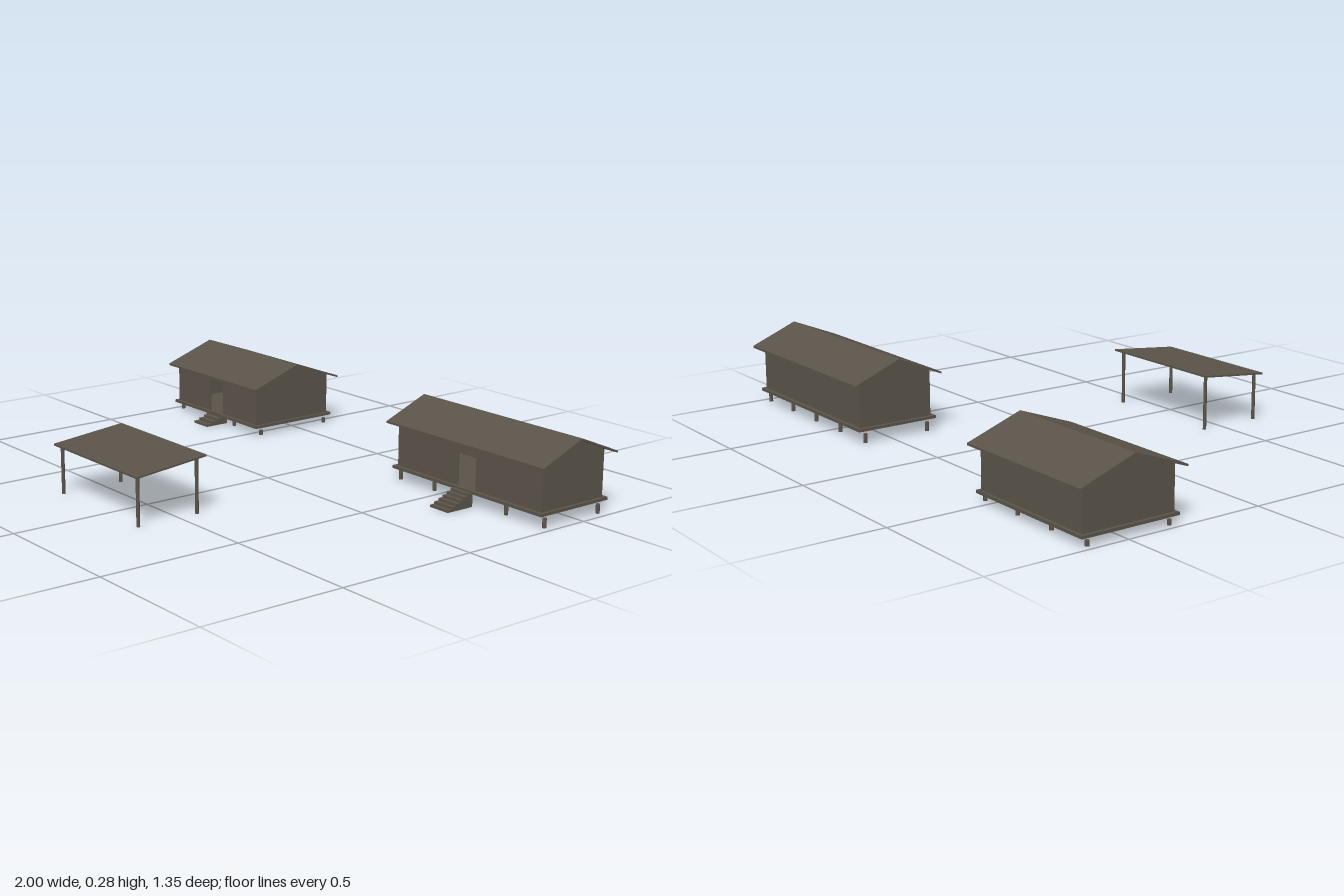
import * as THREE from 'three';

const wood = new THREE.MeshStandardMaterial({ color: 0x5a5349 });
wood.name = 'weathered wood';

function add(parent, name, geometry, x = 0, y = 0, z = 0) {
  const mesh = new THREE.Mesh(geometry, wood);
  mesh.name = name;
  mesh.position.set(x, y, z);
  parent.add(mesh);
  return mesh;
}

// Box given by its lower and upper limits on each axis
function block(parent, name, x0, x1, y0, y1, z0, z1) {
  return add(parent, name, new THREE.BoxGeometry(x1 - x0, y1 - y0, z1 - z0),
    (x0 + x1) / 2, (y0 + y1) / 2, (z0 + z1) / 2);
}

function post(parent, name, x, z, height, radius) {
  add(parent, name, new THREE.CylinderGeometry(radius, radius, height, 10), x, height / 2, z);
}

// Extrudes a (z, y) outline along x from x0 to x1
function profile(parent, name, points, x0, x1) {
  const shape = new THREE.Shape(points.map(([z, y]) => new THREE.Vector2(-z, y)));
  const geometry = new THREE.ExtrudeGeometry(shape, { depth: x1 - x0, bevelEnabled: false });
  geometry.rotateY(Math.PI / 2);
  return add(parent, name, geometry, x0, 0, 0);
}

function createHut(o) {
  const hut = new THREE.Group();
  hut.name = o.name;
  const [x0, x1] = o.wallX, t = 0.005;
  const zc = o.ridgeZ, front = zc + o.wallHalf, back = zc - o.wallHalf;
  const slope = (o.ridgeY - o.eaveY) / o.roofHalf, thick = 0.007;
  const base = o.floorY + 0.01;
  const under = (z) => o.ridgeY - thick - Math.abs(z - zc) * slope;
  const wallTop = under(front);

  // Floor platform
  block(hut, 'floor', o.floorX[0], o.floorX[1], o.floorY, base, zc - o.floorHalf, zc + o.floorHalf);

  // Gable end walls
  const gable = [[front, base], [front, wallTop], [zc, under(zc)], [back, wallTop], [back, base]];
  profile(hut, 'rightGableWall', gable, x0, x0 + t);
  profile(hut, 'leftGableWall', gable, x1 - t, x1);

  // Back wall, and front wall around the open doorway
  block(hut, 'backWall', x0 + t, x1 - t, base, wallTop, back, back + t);
  const [d0, d1] = o.doorX;
  block(hut, 'frontWallRight', x0 + t, d0, base, wallTop, front - t, front);
  block(hut, 'frontWallLeft', d1, x1 - t, base, wallTop, front - t, front);
  block(hut, 'doorLintel', d0, d1, o.doorTop, wallTop, front - t, front);

  // Gabled roof as one folded sheet
  const zf = zc + o.roofHalf, zb = zc - o.roofHalf;
  profile(hut, 'roof', [[zf, o.eaveY], [zc, o.ridgeY], [zb, o.eaveY],
    [zb, o.eaveY - thick], [zc, o.ridgeY - thick], [zf, o.eaveY - thick]], o.roofX[0], o.roofX[1]);

  // Foundation piles in two rows
  for (let i = 0; i < o.piles; i++) {
    const x = o.pileX + i * 0.169;
    for (const side of [1, -1]) post(hut, 'pile', x, zc + side * o.pileHalf, o.pileTop, 0.007);
  }

  // Entrance stairs
  const [s0, s1] = o.stairZ;
  const steps = [[s1, 0]];
  for (let i = 0; i < o.steps; i++) {
    const z = s1 + (s0 - s1) * i / o.steps;
    const zNext = s1 + (s0 - s1) * (i + 1) / o.steps;
    const y = o.stairTop * (i + 1) / o.steps;
    steps.push([z, y], [zNext, y]);
  }
  steps.push([s0, 0]);
  profile(hut, 'stairs', steps, d0, d1);
  return hut;
}

function createCanopy() {
  const canopy = new THREE.Group();
  canopy.name = 'canopy';
  // Sloping roof sheet
  profile(canopy, 'canopyRoof',
    [[0.672, 0.171], [0.404, 0.199], [0.404, 0.193], [0.672, 0.165]], -0.295, 0.203);
  // Four posts
  for (const x of [-0.27, 0.18]) {
    post(canopy, 'frontPost', x, 0.654, 0.168, 0.006);
    post(canopy, 'backPost', x, 0.427, 0.192, 0.006);
  }
  return canopy;
}

export function createModel() {
  const model = new THREE.Group();
  model.name = 'camp';
  model.add(createHut({
    name: 'smallHut', ridgeZ: -0.477, ridgeY: 0.254, eaveY: 0.184,
    roofX: [-1, -0.437], roofHalf: 0.197, wallX: [-0.973, -0.469], wallHalf: 0.169,
    floorX: [-0.985, -0.457], floorY: 0.028, floorHalf: 0.18,
    doorX: [-0.763, -0.68], doorTop: 0.16,
    piles: 4, pileX: -0.972, pileHalf: 0.151, pileTop: 0.018,
    stairZ: [-0.325, -0.23], stairTop: 0.032, steps: 4,
  }));
  model.add(createHut({
    name: 'largeHut', ridgeZ: -0.477, ridgeY: 0.278, eaveY: 0.209,
    roofX: [0.266, 1], roofHalf: 0.17, wallX: [0.294, 0.969], wallHalf: 0.139,
    floorX: [0.281, 0.981], floorY: 0.043, floorHalf: 0.153,
    doorX: [0.588, 0.672], doorTop: 0.172,
    piles: 5, pileX: 0.292, pileHalf: 0.123, pileTop: 0.032,
    stairZ: [-0.326, -0.217], stairTop: 0.047, steps: 6,
  }));
  model.add(createCanopy());
  return model;
}
